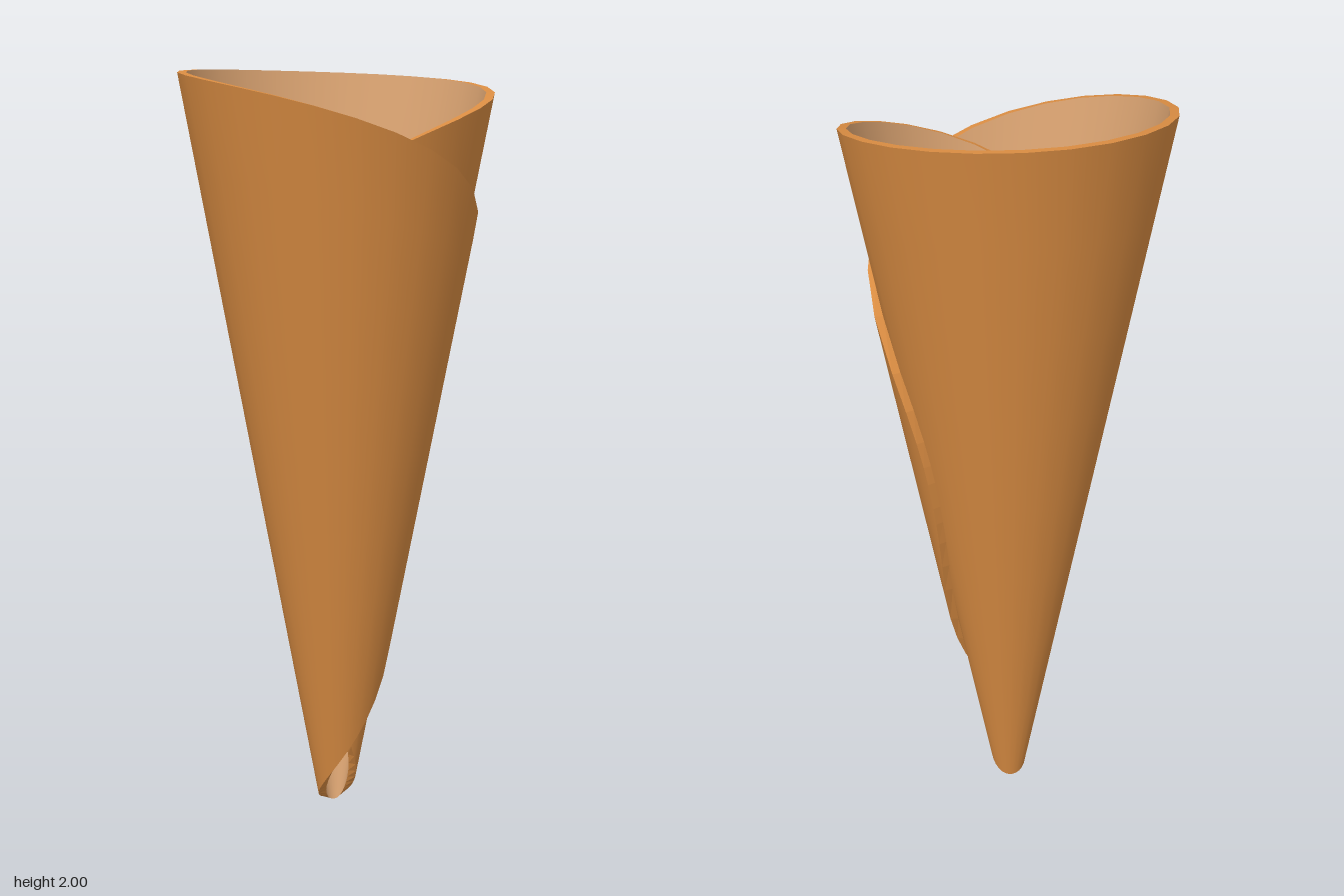
import * as THREE from 'three';

const HALF_WRAP = THREE.MathUtils.degToRad(288); // the sheet wraps this far each way from the back
const THICKNESS = 0.022;
const ROWS = 8;

// Point on the rolled sheet: t runs -1 (inner end) to 1 (outer end), v from bottom to top edge
function sheetPoint(t, v, inset) {
  const angle = t * HALF_WRAP;
  const halfHeight = Math.pow(1 - Math.pow(Math.abs(t), 2.1), 1 / 2.1);
  const y = 1 + halfHeight * (2 * v - 1);
  const radius = 0.043 + 0.187 * y + 0.0173 * t - inset;
  return [0.004 - Math.sin(angle) * radius, y, -0.007 + 0.0093 * y - Math.cos(angle) * radius];
}

// Even columns around the roll, with finer ones where the round ends close
function columnPositions() {
  const ends = [0.975, 0.99, 0.997, 0.9995];
  const columns = ends.map((e) => -e).reverse();
  for (let i = 1; i < 40; i++) columns.push(i / 20 - 1);
  return columns.concat(ends);
}

// One smooth face of the sheet
function faceGeometry(columns, inset, facesInward) {
  const positions = [];
  const index = [];
  for (const t of columns) {
    for (let j = 0; j <= ROWS; j++) positions.push(...sheetPoint(t, j / ROWS, inset));
  }
  for (let i = 0; i < columns.length - 1; i++) {
    for (let j = 0; j < ROWS; j++) {
      const a = i * (ROWS + 1) + j;
      const b = a + ROWS + 1;
      if (facesInward) index.push(a, a + 1, b, b, a + 1, b + 1);
      else index.push(a, b, a + 1, b, b + 1, a + 1);
    }
  }
  const geometry = new THREE.BufferGeometry();
  geometry.setAttribute('position', new THREE.Float32BufferAttribute(positions, 3));
  geometry.setIndex(index);
  geometry.computeVertexNormals();
  return geometry;
}

// Narrow flat-faceted band joining the two faces all round the edge
function edgeGeometry(columns) {
  const loop = columns.map((t) => [t, 0]).concat([...columns].reverse().map((t) => [t, 1]));
  const positions = [];
  loop.forEach((p, i) => {
    const q = loop[(i + 1) % loop.length];
    const po = sheetPoint(p[0], p[1], 0);
    const pi = sheetPoint(p[0], p[1], THICKNESS);
    const qo = sheetPoint(q[0], q[1], 0);
    const qi = sheetPoint(q[0], q[1], THICKNESS);
    positions.push(...po, ...pi, ...qi, ...po, ...qi, ...qo);
  });
  const geometry = new THREE.BufferGeometry();
  geometry.setAttribute('position', new THREE.Float32BufferAttribute(positions, 3));
  geometry.computeVertexNormals();
  return geometry;
}

export function createModel() {
  const crust = new THREE.MeshStandardMaterial({ color: 0xd98c42 });
  crust.name = 'golden crust';
  const lining = new THREE.MeshStandardMaterial({ color: 0xdba472 });
  lining.name = 'pale lining';

  const group = new THREE.Group();
  group.name = 'rolledCone';
  const columns = columnPositions();
  const add = (name, geometry, material) => {
    const mesh = new THREE.Mesh(geometry, material);
    mesh.name = name;
    group.add(mesh);
  };

  add('outerFace', faceGeometry(columns, 0, false), crust);
  add('innerFace', faceGeometry(columns, THICKNESS, true), lining);
  add('sheetEdge', edgeGeometry(columns), crust);
  return group;
}
